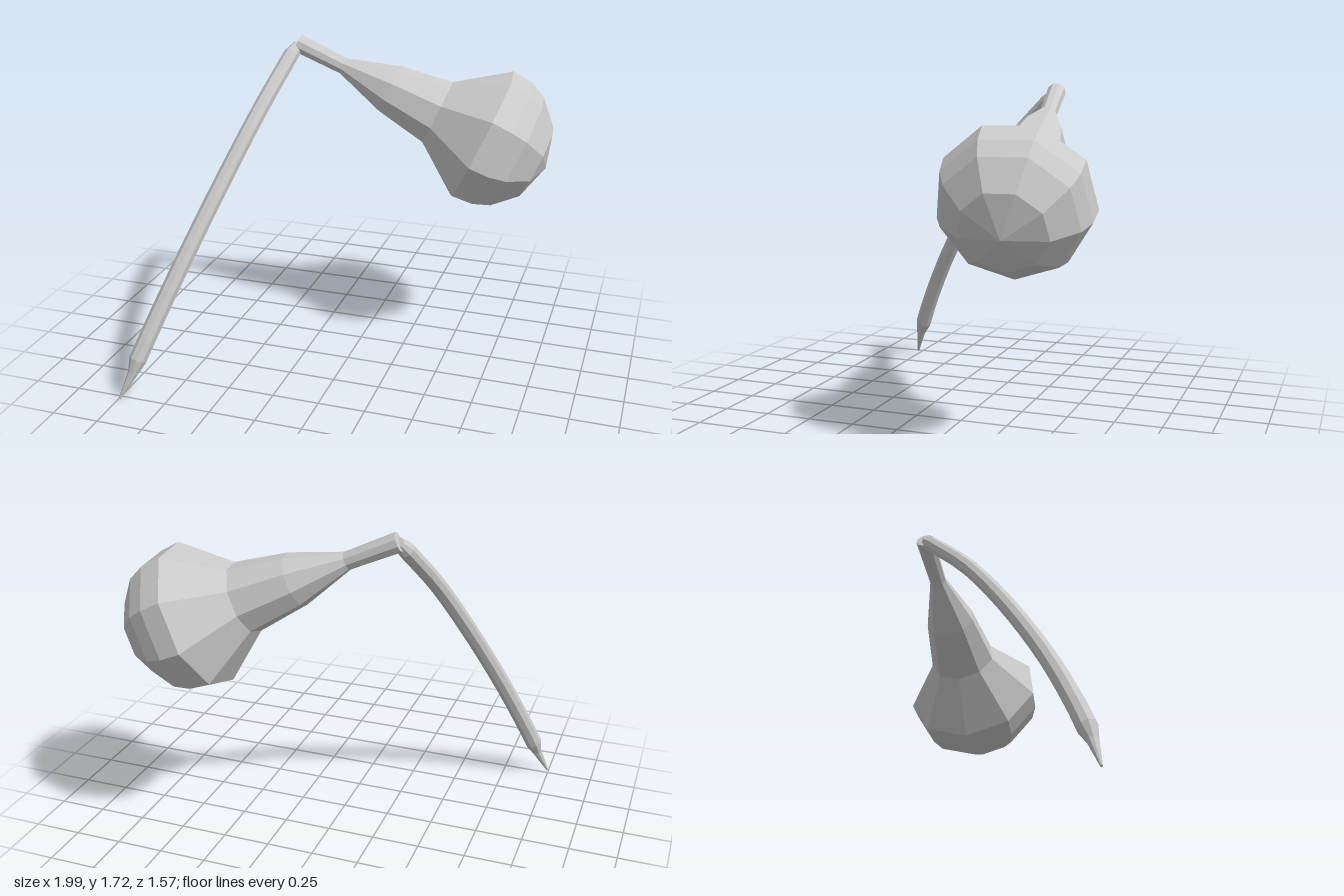
import * as THREE from 'three';

const SIDES = 9;
const material = new THREE.MeshStandardMaterial({ color: 0xcccccc, flatShading: true });

function part(name, geometry) {
  const mesh = new THREE.Mesh(geometry, material);
  mesh.name = name;
  return mesh;
}

// Skins rings of the given radii along a path bending in the plane with normal n
function skin(points, radii, n) {
  const pos = [], index = [], last = points.length - 1;
  points.forEach((p, i) => {
    const t = points[Math.min(i + 1, last)].clone().sub(points[Math.max(i - 1, 0)]).normalize();
    const b = t.clone().cross(n).normalize();
    for (let k = 0; k < SIDES; k++) {
      const a = (k / SIDES) * Math.PI * 2;
      const v = p.clone().addScaledVector(n, radii[i] * Math.cos(a)).addScaledVector(b, radii[i] * Math.sin(a));
      pos.push(v.x, v.y, v.z);
    }
  });
  for (let i = 0; i < last; i++) {
    for (let k = 0; k < SIDES; k++) {
      const a = i * SIDES + k, b = i * SIDES + (k + 1) % SIDES;
      index.push(a, a + SIDES, b, b, a + SIDES, b + SIDES);
    }
  }
  // End caps
  for (let k = 1; k < SIDES - 1; k++) {
    const e = last * SIDES;
    index.push(0, k, k + 1, e, e + k + 1, e + k);
  }
  const g = new THREE.BufferGeometry();
  g.setAttribute('position', new THREE.Float32BufferAttribute(pos, 3));
  // Ring order runs n -> t x n, so reverse the winding to face outward
  for (let i = 0; i < index.length; i += 3) [index[i + 1], index[i + 2]] = [index[i + 2], index[i + 1]];
  g.setIndex(index);
  g.computeVertexNormals();
  return g;
}

export function createModel() {
  const group = new THREE.Group();
  group.name = 'jointedLimb';

  // Bulb: slender neck swelling into a rounded end, as radius and distance along the axis
  const profile = [
    [0, 0], [0.05, 0], [0.045, 0.27], [0.136, 0.547], [0.183, 0.83], [0.378, 1.093],
    [0.367, 1.205], [0.328, 1.295], [0.209, 1.413], [0, 1.476],
  ].map(([r, t]) => new THREE.Vector2(r, t));
  const bulb = part('bulb', new THREE.LatheGeometry(profile, SIDES));
  const axis = new THREE.Vector3(0.905, -0.412, -0.1).normalize();
  const down = new THREE.Vector3(0, -1, 0);
  down.addScaledVector(axis, -down.dot(axis)).normalize();
  const side = axis.clone().cross(down);
  bulb.quaternion.setFromRotationMatrix(new THREE.Matrix4().makeBasis(side, axis, down));
  bulb.position.set(-0.38, 1.68, -0.31);
  group.add(bulb);

  // Leg: arched shaft lying in one plane, given as y and z
  const inPlane = (y, z) => new THREE.Vector3(-0.4 - 0.36 * (1.63 - y), y, z);
  const arch = new THREE.CatmullRomCurve3([
    [1.63, -0.26], [1.39, -0.016], [1.066, 0.23], [0.67, 0.48], [0.35, 0.645], [0.215, 0.705],
  ].map(([y, z]) => inPlane(y, z)));
  const shaft = arch.getSpacedPoints(14);
  const n = new THREE.Vector3(0.941, -0.339, 0).normalize();

  // Knuckle at the top, then the shaft, then the claw at the foot
  const path = [new THREE.Vector3(-0.375, 1.675, -0.305), ...shaft,
    new THREE.Vector3(-0.93, 0.145, 0.732), new THREE.Vector3(-0.993, 0.005, 0.78)];
  const radii = [0.028, ...shaft.map((_, i) => 0.042 + 0.005 * i / 14), 0.027, 0.006];
  group.add(part('leg', skin(path, radii, n)));

  return group;
}
